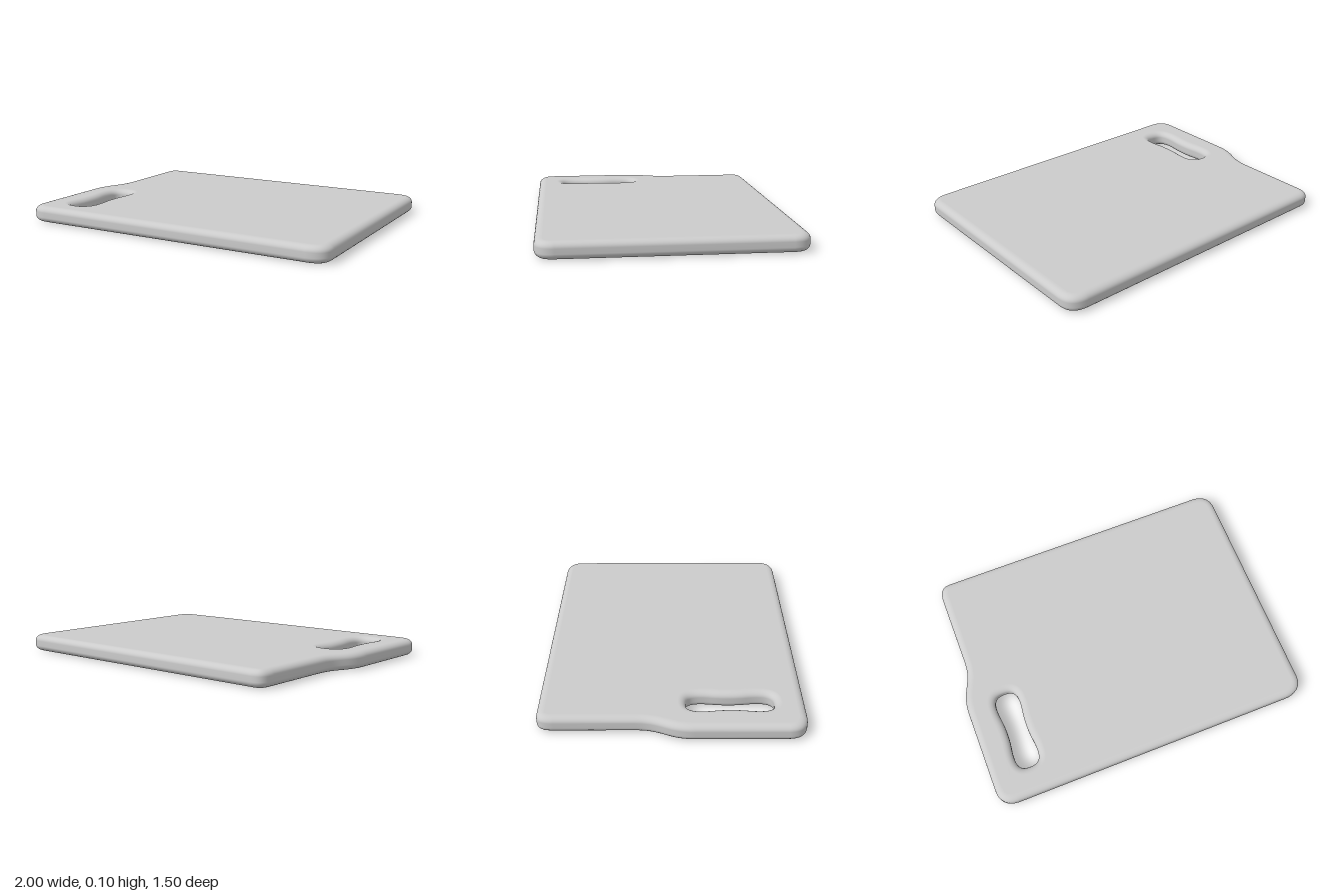
import * as THREE from 'three';
import { mergeVertices } from 'three/addons/utils/BufferGeometryUtils.js';

const THICKNESS = 0.1, BEVEL_HEIGHT = 0.035, BEVEL_WIDTH = 0.045;

// Board outline, drawn in x and z: full-width grip side, stepped-in back part
function boardOutline() {
  const s = new THREE.Shape();
  s.moveTo(-0.88, 0.75);
  s.lineTo(0.88, 0.75);
  s.bezierCurveTo(0.96, 0.75, 1, 0.71, 1, 0.64);
  s.lineTo(1, -0.64);
  s.bezierCurveTo(1, -0.71, 0.96, -0.75, 0.88, -0.75);
  s.lineTo(-0.84, -0.75);
  s.bezierCurveTo(-0.9, -0.75, -0.92, -0.72, -0.92, -0.65);
  s.lineTo(-0.92, -0.2);
  s.bezierCurveTo(-0.92, -0.05, -1, -0.03, -1, 0.13);
  s.lineTo(-1, 0.64);
  s.bezierCurveTo(-1, 0.71, -0.96, 0.75, -0.88, 0.75);
  return s;
}

// Grip slot with round ends and a slightly pinched waist
function gripSlot() {
  const cx = -0.755, cz = 0.33, end = 0.25, shoulder = 0.165, w = 0.075, waist = 0.063;
  const p = new THREE.Path();
  p.moveTo(cx + waist, cz);
  p.bezierCurveTo(cx + waist, cz + 0.09, cx + w, cz + 0.1, cx + w, cz + shoulder);
  p.bezierCurveTo(cx + w, cz + 0.23, cx + 0.05, cz + end, cx, cz + end);
  p.bezierCurveTo(cx - 0.05, cz + end, cx - w, cz + 0.23, cx - w, cz + shoulder);
  p.bezierCurveTo(cx - w, cz + 0.1, cx - waist, cz + 0.09, cx - waist, cz);
  p.bezierCurveTo(cx - waist, cz - 0.09, cx - w, cz - 0.1, cx - w, cz - shoulder);
  p.bezierCurveTo(cx - w, cz - 0.23, cx - 0.05, cz - end, cx, cz - end);
  p.bezierCurveTo(cx + 0.05, cz - end, cx + w, cz - 0.23, cx + w, cz - shoulder);
  p.bezierCurveTo(cx + w, cz - 0.1, cx + waist, cz - 0.09, cx + waist, cz);
  return p;
}

export function createModel() {
  const outline = boardOutline();
  outline.holes.push(gripSlot());

  // Rounded slab, laid flat with its underside on the ground
  let geometry = new THREE.ExtrudeGeometry(outline, {
    depth: THICKNESS - 2 * BEVEL_HEIGHT,
    bevelThickness: BEVEL_HEIGHT,
    bevelSize: BEVEL_WIDTH,
    bevelOffset: -BEVEL_WIDTH,
    bevelSegments: 8,
    curveSegments: 14,
  });
  geometry.rotateX(Math.PI / 2);
  geometry.translate(0, THICKNESS - BEVEL_HEIGHT, 0);

  // Weld the surface so the soft edges shade smoothly
  geometry.deleteAttribute('uv');
  geometry.deleteAttribute('normal');
  geometry = mergeVertices(geometry, 1e-4);
  geometry.computeVertexNormals();

  const board = new THREE.Mesh(geometry, new THREE.MeshStandardMaterial({ color: 0xcccccc }));
  board.name = 'cuttingBoard';

  const group = new THREE.Group();
  group.name = 'choppingBoard';
  group.add(board);
  return group;
}
